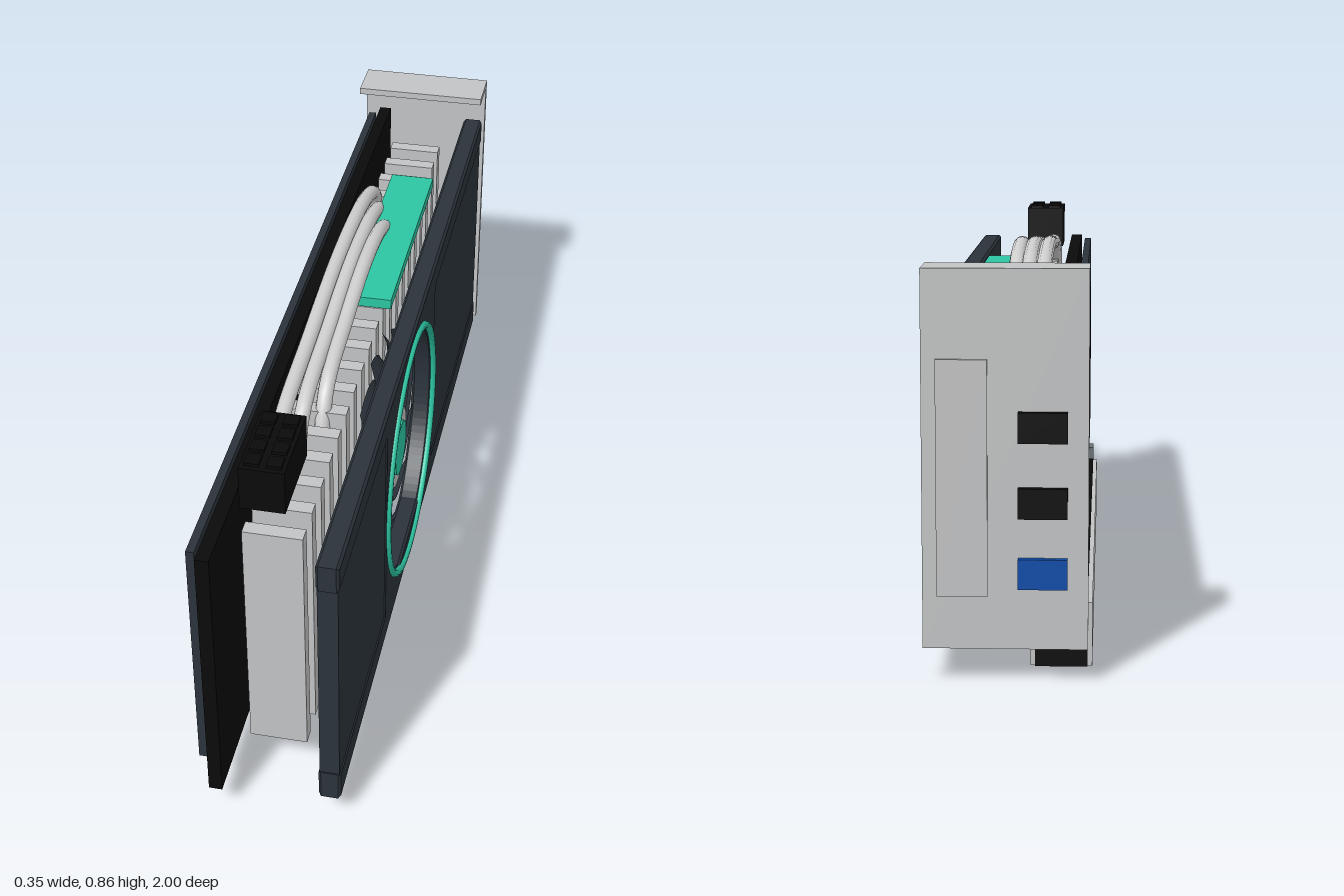
import * as THREE from 'three';

const mat = (name, color, side = THREE.FrontSide) => {
  const m = new THREE.MeshStandardMaterial({ color, side });
  m.name = name;
  return m;
};

export function createModel() {
  const model = new THREE.Group();
  model.name = 'expansionCard';

  const navy = mat('navy', 0x2b333b);
  const bladeNavy = mat('bladeNavy', 0x2a323a, THREE.DoubleSide);
  const black = mat('black', 0x0a0a0b);
  const silver = mat('silver', 0xc2c3c4);
  const pipeSilver = mat('pipeSilver', 0xcfcfd0);
  const teal = mat('teal', 0x2cc5a2);
  const grey = mat('grey', 0x697176);
  const blue = mat('blue', 0x0d4ba8);

  const add = (name, geometry, material, parent = model) => {
    const mesh = new THREE.Mesh(geometry, material);
    mesh.name = name;
    parent.add(mesh);
    return mesh;
  };
  // Box given by its extents on each axis
  const box = (name, material, x0, x1, y0, y1, z0, z1) => {
    const mesh = add(name, new THREE.BoxGeometry(x1 - x0, y1 - y0, z1 - z0), material);
    mesh.position.set((x0 + x1) / 2, (y0 + y1) / 2, (z0 + z1) / 2);
    return mesh;
  };

  // Circuit board and backplate
  box('circuitBoard', black, -0.125, -0.095, 0.08, 0.745, -0.95, 1);
  box('backplate', navy, -0.152, -0.134, 0.145, 0.737, -0.93, 0.97);
  box('backplateStripe', teal, -0.156, -0.152, 0.43, 0.46, -0.62, 0.06);
  for (let i = 0; i < 6; i++) {
    const z = 0.207 + i * 0.103;
    box('backplateVent', black, -0.155, -0.152, 0.24, 0.63, z - 0.021, z + 0.021);
  }

  // Edge connector with contact plates, and the retaining clip
  box('edgeConnector', black, -0.165, -0.057, 0.008, 0.148, -0.9, 0.58);
  box('contactPlateOuter', silver, -0.175, -0.165, 0.01, 0.145, -0.9, 0.581);
  box('contactPlateInner', silver, -0.057, -0.048, 0.01, 0.145, -0.9, 0.581);
  box('clip', grey, -0.165, -0.055, 0, 0.175, 0.605, 0.66);

  // Heatsink fins
  for (let i = 0; i < 20; i++) {
    const z = -0.805 + i * 0.0866;
    box('heatsinkFin', silver, -0.065, 0.065, 0.115, 0.71, z - 0.017, z + 0.017);
  }

  // Heat pipes arching over the fins
  [[-0.057, 1], [-0.022, 0.85], [0.01, 0.67]].forEach(([x, s]) => {
    const points = [[0.3, 0.66], [0.65, 0.64], [0.745, 0.56], [0.785, 0.25], [0.805, -0.1],
      [0.775, -0.4], [0.72, -0.52], [0.62, -0.55]];
    const path = new THREE.CatmullRomCurve3(points.map(([y, z]) => new THREE.Vector3(x, y, z * s)));
    add('heatPipe', new THREE.TubeGeometry(path, 56, 0.018, 12), pipeSilver);
  });

  // Light bar and power socket
  box('lightBar', teal, -0.015, 0.093, 0.745, 0.77, -0.545, 0.04);
  box('powerSocket', black, -0.077, 0.021, 0.743, 0.848, 0.622, 0.822);
  for (let i = 0; i < 2; i++) {
    for (let j = 0; j < 4; j++) {
      const x = -0.052 + i * 0.048;
      const z = 0.65 + j * 0.048;
      box('powerPin', black, x - 0.016, x + 0.016, 0.848, 0.855, z - 0.017, z + 0.017);
    }
  }

  // Shroud frame: rails and centre, with the clipped round fan opening
  const fanY = 0.413, fanZ = 0.14;
  const outline = [[-0.97, 0.075], [0.93, 0.075], [0.93, 0.15], [0.18, 0.15], [0.18, 0.68], [0.93, 0.68],
    [0.93, 0.745], [-0.97, 0.745], [-0.97, 0.68], [-0.46, 0.68], [-0.46, 0.15], [-0.97, 0.15]];
  const frame = new THREE.Shape(outline.map(([a, b]) => new THREE.Vector2(a, b)));
  const opening = [];
  for (let i = 0; i < 96; i++) {
    const t = -i / 96 * Math.PI * 2;
    const dy = Math.max(-0.262, Math.min(0.262, 0.293 * Math.sin(t)));
    opening.push(new THREE.Vector2(-fanZ + 0.293 * Math.cos(t), fanY + dy));
  }
  frame.holes.push(new THREE.Path(opening));
  const frameGeometry = new THREE.ExtrudeGeometry(frame, {
    depth: 0.038, bevelThickness: 0.006, bevelSize: 0.006, bevelOffset: -0.006, bevelSegments: 1,
  });
  frameGeometry.rotateY(Math.PI / 2);
  frameGeometry.translate(0.121, 0, 0);
  add('shroudFrame', frameGeometry, navy);
  box('shroudPanelFront', navy, 0.118, 0.162, 0.148, 0.682, 0.457, 0.967);
  box('shroudPanelRear', navy, 0.118, 0.162, 0.148, 0.682, -0.927, -0.177);

  // Fan, built facing +z and turned to face +x
  const fan = new THREE.Group();
  fan.name = 'fan';
  fan.position.set(0.1, fanY, fanZ);
  fan.rotation.y = Math.PI / 2;
  model.add(fan);
  const ring = add('fanRing', new THREE.TorusGeometry(0.304, 0.0095, 10, 72), teal, fan);
  ring.position.z = 0.065;
  const disc = (name, material, r, z0, z1) => {
    const g = new THREE.CylinderGeometry(r, r, z1 - z0, 40);
    g.rotateX(Math.PI / 2);
    g.translate(0, 0, (z0 + z1) / 2);
    add(name, g, material, fan);
  };
  disc('fanHub', silver, 0.1, -0.02, 0.035);
  disc('fanHubCap', teal, 0.068, 0.035, 0.041);

  // Swept, pitched blades
  const count = 13;
  const blade = new THREE.PlaneGeometry(1, 1, 12, 4);
  const p = blade.attributes.position;
  for (let i = 0; i < p.count; i++) {
    const u = p.getX(i) + 0.5, v = p.getY(i);
    const r = 0.09 + 0.196 * u;
    const angle = 0.85 * u * u + 0.15 * u + v * (Math.PI * 2 / count) * 0.8;
    p.setXYZ(i, r * Math.cos(angle), r * Math.sin(angle), v * 0.045 - 0.002);
  }
  blade.computeVertexNormals();
  for (let i = 0; i < count; i++) {
    add('fanBlade', blade, bladeNavy, fan).rotation.z = i / count * Math.PI * 2;
  }

  // Mounting bracket with folded lip, grille plate and ports
  box('bracketPlate', silver, -0.167, 0.167, 0.07, 0.84, -0.985, -0.968);
  box('bracketLip', silver, -0.167, 0.167, 0.823, 0.84, -0.968, -0.87);
  box('bracketGrille', silver, 0.035, 0.138, 0.18, 0.66, -0.992, -0.985);
  [[0.525, black], [0.372, black], [0.228, blue]].forEach(([y, m]) => {
    box('port', m, -0.125, -0.026, y - 0.031, y + 0.031, -1, -0.985);
  });

  return model;
}
